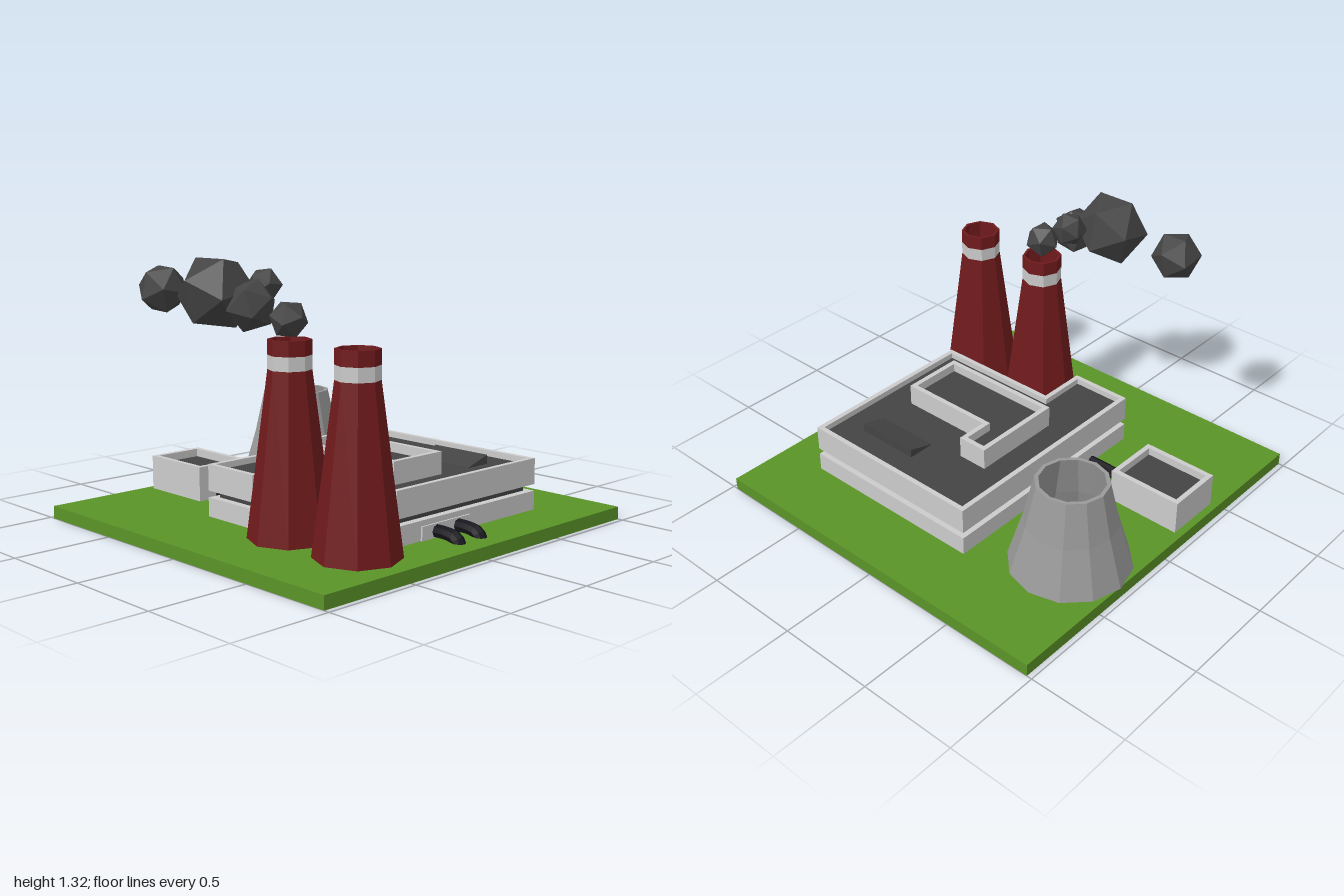
import * as THREE from 'three';

const mat = (color, side = THREE.FrontSide) =>
  new THREE.MeshStandardMaterial({ color, flatShading: true, side });
const WALL = mat(0xcccccc), ROOF = mat(0x444444), GRASS = mat(0x5a9427), SMOKE = mat(0x444444);
const PIPE = mat(0x14141c), TOWER = mat(0x999999, THREE.DoubleSide);
const RED = mat(0x701a1c, THREE.DoubleSide), BAND = mat(0xcccccc, THREE.DoubleSide);
const GROUND = 0.063, RIM = 0.026;

const mesh = (name, geometry, material, parent) => {
  const m = new THREE.Mesh(geometry, material);
  m.name = name;
  parent.add(m);
  return m;
};

// Floor plans are [x, z] corners, counter-clockwise seen from above
const rect = (x0, x1, z0, z1) => [[x0, z1], [x1, z1], [x1, z0], [x0, z0]];

// Shrink a right-angled plan by t
const inset = (plan, t) => plan.map((p, i) => {
  const a = plan[(i + plan.length - 1) % plan.length], b = plan[(i + 1) % plan.length];
  const out = [...p];
  for (const [s, e] of [[a, p], [p, b]]) {
    out[0] += t * Math.sign(e[1] - s[1]);
    out[1] -= t * Math.sign(e[0] - s[0]);
  }
  return out;
});

// Raise a plan from y0 to y1, optionally with an opening
function slab(plan, y0, y1, hole) {
  const pts = (q) => q.map(([x, z]) => new THREE.Vector2(x, -z));
  const shape = new THREE.Shape(pts(plan));
  if (hole) shape.holes.push(new THREE.Path(pts(hole).reverse()));
  return new THREE.ExtrudeGeometry(shape, { depth: y1 - y0, bevelEnabled: false })
    .rotateX(-Math.PI / 2).translate(0, y0, 0);
}

// Walls with a parapet around a sunken dark roof
function block(name, plan, y0, y1, sink, parent) {
  const g = new THREE.Group();
  g.name = name;
  const inner = inset(plan, RIM);
  mesh(name + 'Walls', slab(plan, y0, y1, inner), WALL, g);
  mesh(name + 'Roof', slab(inner, y0 + 0.002, y1 - sink), ROOF, g);
  parent.add(g);
}

const lathe = (profile, sides) =>
  new THREE.LatheGeometry(profile.map(([r, y]) => new THREE.Vector2(r, y)), sides);

// Hollow tapered chimney with a pale band
function chimney(x, z, parent) {
  const g = new THREE.Group();
  g.name = 'chimney';
  mesh('chimneyStack', lathe([[0.2, GROUND], [0.1, 0.835]], 8), RED, g);
  mesh('chimneyBand', lathe([[0.1, 0.835], [0.1, 0.9]], 8), BAND, g);
  mesh('chimneyTop', lathe([[0.1, 0.9], [0.1, 0.97], [0.087, 0.97], [0.087, 0.835], [0.185, GROUND]], 8), RED, g);
  g.position.set(x, 0, z);
  parent.add(g);
}

export function createModel() {
  const model = new THREE.Group();
  model.name = 'powerPlant';

  mesh('ground', slab(rect(-1, 1, -0.973, 0.973), 0, GROUND), GRASS, model);

  // Main hall: plinth, recessed dark window strip, upper storey
  const hall = [[-0.316, 0.715], [0.658, 0.715], [0.658, -0.283], [-0.572, -0.283], [-0.572, 0.043], [-0.316, 0.043]];
  mesh('hallPlinth', slab(hall, GROUND, 0.157), WALL, model);
  mesh('hallWindowStrip', slab(inset(hall, 0.038), 0.157, 0.19), ROOF, model);
  block('hallUpper', hall, 0.19, 0.32, 0.03, model);

  // Roof storey
  const roofStorey = [[-0.157, 0.545], [0.166, 0.545], [0.166, 0.043], [0.327, 0.043], [0.327, -0.115], [-0.157, -0.115]];
  block('roofStorey', roofStorey, 0.285, 0.4, 0.045, model);

  // Sloping skylight on the hall roof
  const wedge = new THREE.Shape([[0.355, 0.285], [0.495, 0.285], [0.495, 0.335], [0.355, 0.292]]
    .map(([x, y]) => new THREE.Vector2(x, y)));
  mesh('skylight', new THREE.ExtrudeGeometry(wedge, { depth: 0.335, bevelEnabled: false }).translate(0, 0, 0.215), ROOF, model);

  // Annex behind, linked by two pipes
  block('annex', rect(-0.422, -0.125, -0.935, -0.543), GROUND, 0.237, 0.04, model);
  for (const [x, r] of [[-0.297, 0.024], [-0.246, 0.011]]) {
    const link = mesh('linkPipe', new THREE.CylinderGeometry(r, r, 0.28, 8).rotateX(Math.PI / 2), PIPE, model);
    link.position.set(x, 0.1 - r, -0.41);
  }

  // Outlet panel and bent pipes at the front
  mesh('outletPanel', slab(rect(-0.16, 0.17, 0.7, 0.724), GROUND, 0.13), WALL, model);
  for (const x of [-0.06, 0.086]) {
    const bend = new THREE.CatmullRomCurve3([[0.093, 0.71], [0.092, 0.79], [0.078, 0.84], [0.03, 0.868]]
      .map(([y, z]) => new THREE.Vector3(x, y, z)));
    mesh('outletPipe', new THREE.TubeGeometry(bend, 8, 0.032, 8), PIPE, model);
  }

  chimney(-0.545, 0.273, model);
  chimney(-0.545, 0.7, model);

  // Cooling tower, open through to the ground
  const tower = mesh('coolingTower', lathe([[0.298, GROUND], [0.225, 0.31], [0.175, 0.53],
    [0.156, 0.53], [0.205, 0.31], [0.278, GROUND]], 12), TOWER, model);
  tower.position.set(0.358, 0, -0.682);

  // Smoke puffs: x, y, z, radius
  const puffs = [[-0.55, 1.057, 0.273, 0.09], [-0.655, 1.115, 0.14, 0.122], [-0.525, 1.192, 0.08, 0.086],
    [-0.71, 1.165, -0.035, 0.185], [-0.702, 1.155, -0.44, 0.123]];
  puffs.forEach(([x, y, z, r], i) => {
    const puff = mesh('smokePuff', new THREE.IcosahedronGeometry(r, 0), SMOKE, model);
    puff.position.set(x, y, z);
    puff.rotation.set(0.4 + i, 0.7 * i, 0.3 * i);
  });

  return model;
}
